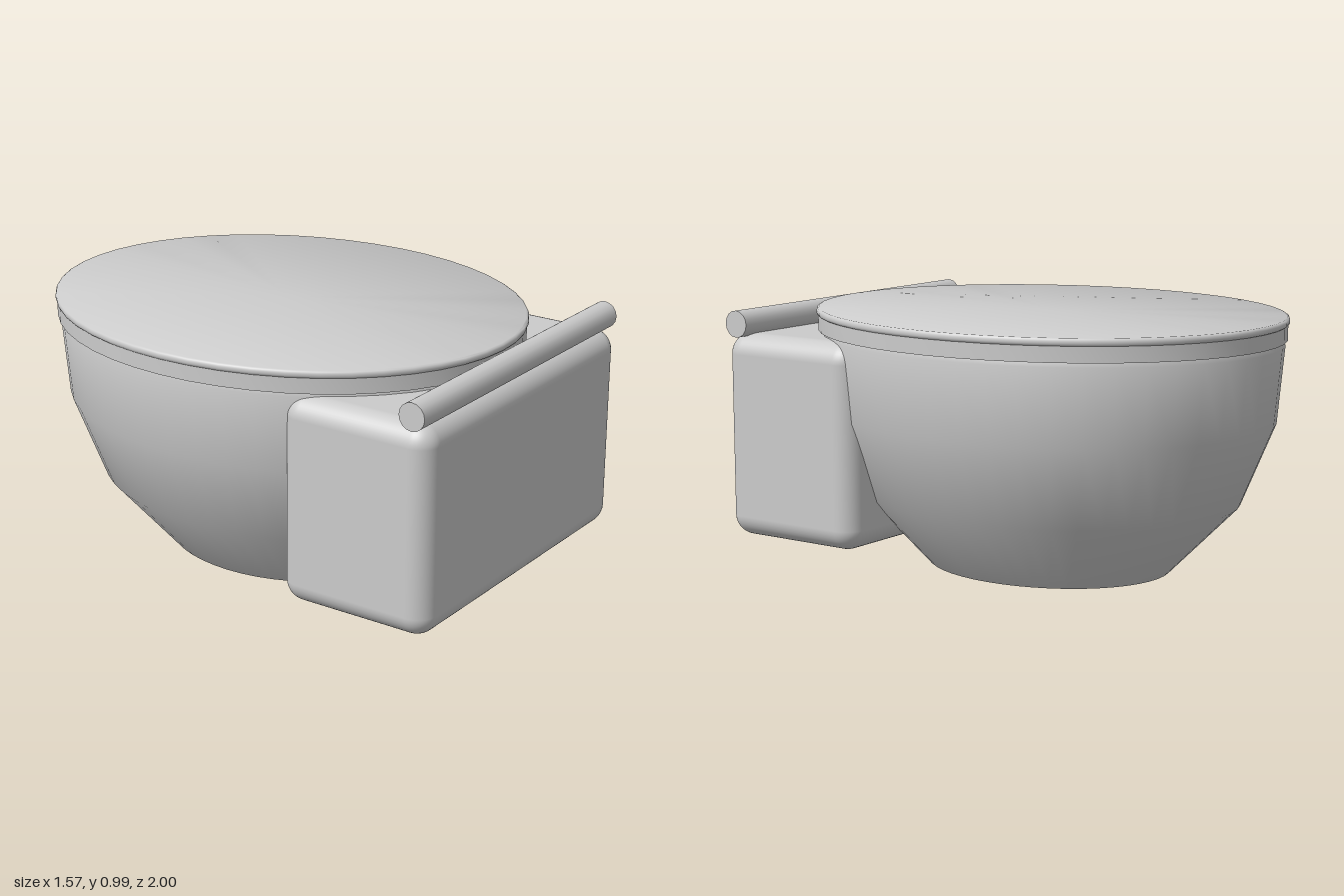
import * as THREE from 'three';
import { RoundedBoxGeometry } from 'three/addons/geometries/RoundedBoxGeometry.js';
import { toCreasedNormals } from 'three/addons/utils/BufferGeometryUtils.js';

const SEGMENTS = 48;
const CENTRE_Z = -0.055;

export function createModel() {
  const group = new THREE.Group();
  const material = new THREE.MeshStandardMaterial({ color: 0xcccccc });

  function add(name, geometry, x, y, z) {
    const mesh = new THREE.Mesh(geometry, material);
    mesh.name = name;
    mesh.position.set(x, y, z);
    group.add(mesh);
    return mesh;
  }

  // Oval solid: profile of [depth radius, height], squeezed across x
  function oval(name, profile, widthRatio, crease) {
    const points = profile.map(([r, y]) => new THREE.Vector2(r, y));
    const lathe = new THREE.LatheGeometry(points, SEGMENTS);
    lathe.scale(widthRatio, 1, 1);
    return add(name, toCreasedNormals(lathe, crease), 0, 0, CENTRE_Z);
  }

  // Bowl tapering to a flat foot
  oval('bowl', [
    [0, 0], [0.495, 0], [0.768, 0.27], [0.903, 0.585],
    [0.932, 0.88], [0.925, 0.9], [0, 0.9],
  ], 0.814, 0.75);

  // Seat band and lid with a rounded rim
  oval('seat', [[0, 0.898], [0.938, 0.898], [0.938, 0.957], [0, 0.957]], 0.83, 0.6);
  oval('lid', [
    [0, 0.955], [0.935, 0.955], [0.942, 0.959], [0.945, 0.966],
    [0.945, 0.974], [0.942, 0.981], [0.935, 0.985], [0, 0.985],
  ], 0.83, 0.9);

  // Tank with rounded edges
  add('tank', new RoundedBoxGeometry(1.34, 0.79, 0.62, 5, 0.08), 0, 0.49, 0.69);

  // Horizontal bar along the tank top
  const bar = new THREE.CylinderGeometry(0.052, 0.052, 1.34, 16);
  bar.rotateZ(Math.PI / 2);
  add('bar', bar, 0, 0.923, 0.933);

  return group;
}
